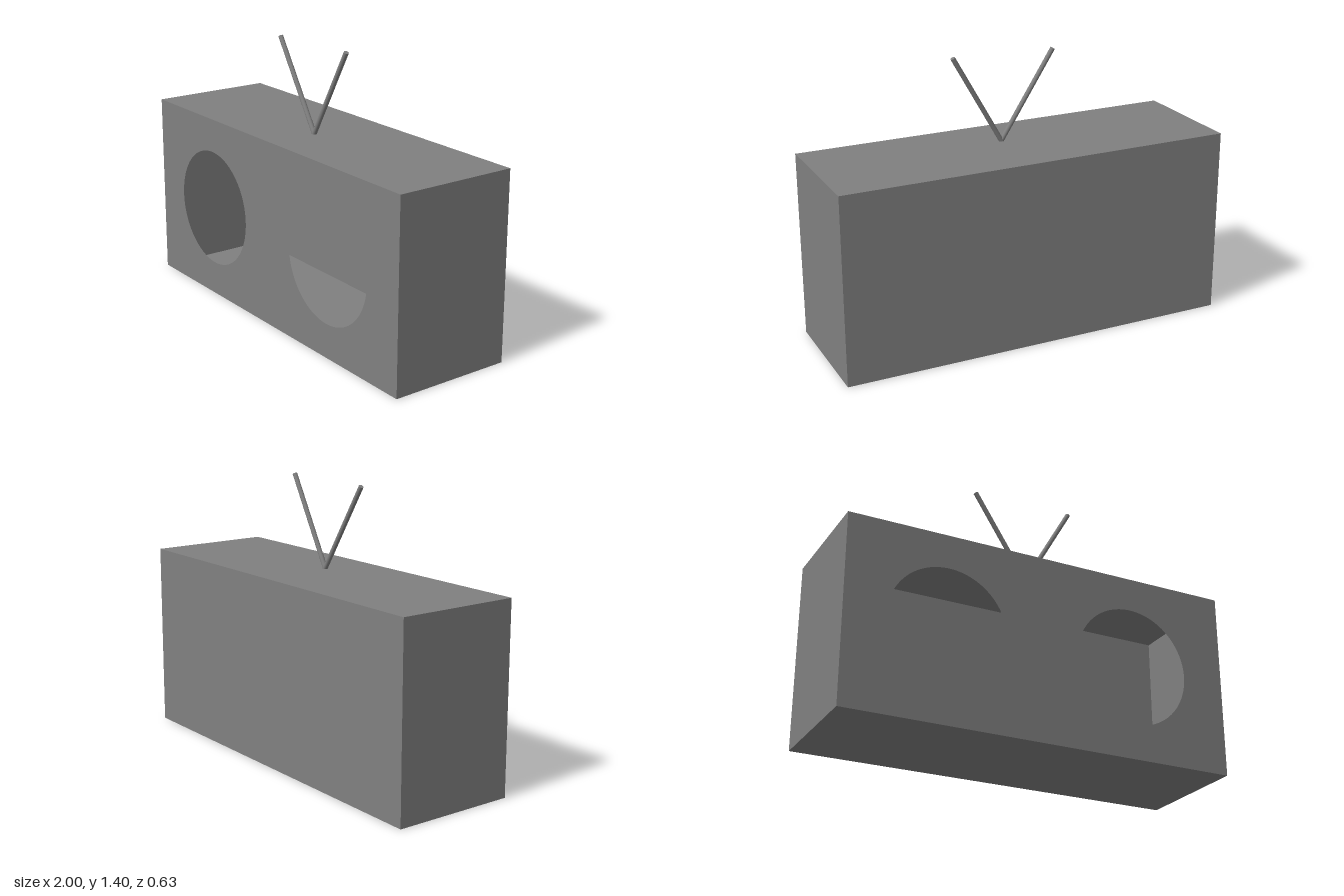
import * as THREE from 'three';

const W = 2, H = 0.945, D = 0.63;

export function createModel() {
  const model = new THREE.Group();
  const grey = new THREE.MeshStandardMaterial({ color: 0x808080, side: THREE.DoubleSide });
  grey.name = 'grey';

  const add = (name, geometry, x, y, z) => {
    const mesh = new THREE.Mesh(geometry, grey);
    mesh.name = name;
    mesh.position.set(x, y, z);
    model.add(mesh);
    return mesh;
  };

  // Hollow case made of single-sheet walls
  add('backWall', new THREE.PlaneGeometry(W, H), 0, H / 2, -D / 2).rotation.y = Math.PI;
  add('topWall', new THREE.PlaneGeometry(W, D), 0, H, 0).rotation.x = -Math.PI / 2;
  add('floor', new THREE.PlaneGeometry(W, D), 0, 0, 0).rotation.x = Math.PI / 2;
  for (const [name, s] of [['leftWall', 1], ['rightWall', -1]]) {
    add(name, new THREE.PlaneGeometry(D, H), s * W / 2, H / 2, 0).rotation.y = s * Math.PI / 2;
  }

  // Front panel with two round openings
  const panel = new THREE.Shape([
    new THREE.Vector2(-W / 2, 0), new THREE.Vector2(W / 2, 0),
    new THREE.Vector2(W / 2, H), new THREE.Vector2(-W / 2, H),
  ]);
  for (const x of [-0.494, 0.481]) {
    panel.holes.push(new THREE.Path().absarc(x, 0.473, 0.3, 0, Math.PI * 2, true));
  }
  add('frontPanel', new THREE.ShapeGeometry(panel, 48), 0, 0, D / 2);

  // V-shaped pair of rod antennas
  const base = new THREE.Vector3(0.034, 0.947, 0.059);
  for (const [name, x, y] of [['rightAntenna', -0.245, 1.382], ['leftAntenna', 0.286, 1.391]]) {
    const rod = new THREE.Vector3(x, y, base.z).sub(base);
    const mesh = add(name, new THREE.CylinderGeometry(0.012, 0.012, rod.length(), 24),
      base.x + rod.x / 2, base.y + rod.y / 2, base.z);
    mesh.quaternion.setFromUnitVectors(new THREE.Vector3(0, 1, 0), rod.normalize());
  }
  return model;
}
